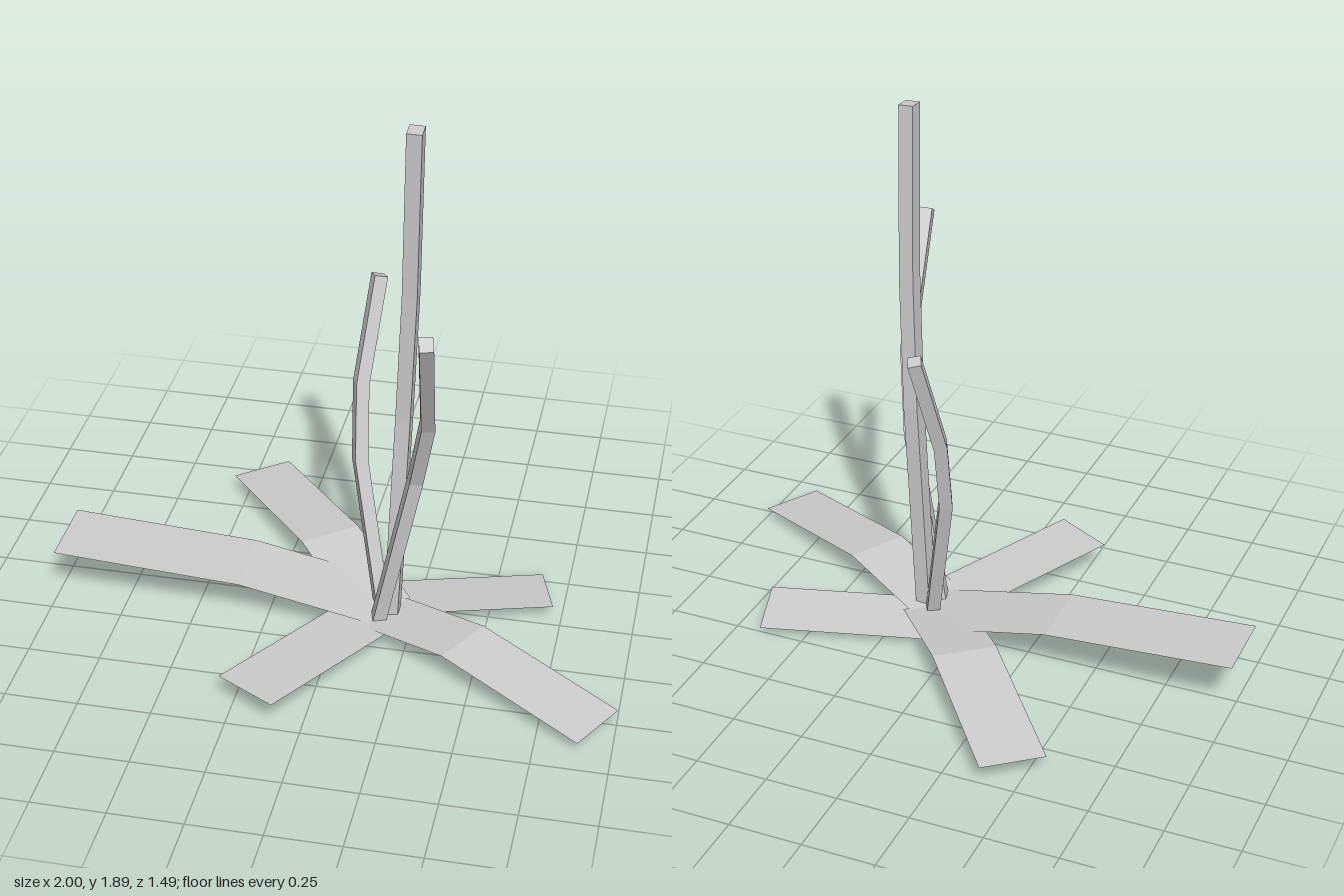
import * as THREE from 'three';

const V = (p) => new THREE.Vector3(...p);

function buildMesh(name, positions, index, side) {
  const indexed = new THREE.BufferGeometry();
  indexed.setAttribute('position', new THREE.Float32BufferAttribute(positions, 3));
  indexed.setIndex(index);
  const geometry = indexed.toNonIndexed();
  geometry.computeVertexNormals();
  const material = new THREE.MeshStandardMaterial({ color: 0xcccccc, flatShading: true, side });
  const mesh = new THREE.Mesh(geometry, material);
  mesh.name = name;
  return mesh;
}

// Four-sided stem swept along a bent path; turn rotates the section about y
function stem(name, path, w, d, turn) {
  const pts = path.map(V);
  const positions = [], index = [];
  const ref = new THREE.Vector3(Math.cos(turn), 0, -Math.sin(turn));
  pts.forEach((p, i) => {
    const a = pts[Math.max(i - 1, 0)], b = pts[Math.min(i + 1, pts.length - 1)];
    const t = b.clone().sub(a).normalize();
    const u = ref.clone().addScaledVector(t, -ref.dot(t)).normalize();
    const v = u.clone().cross(t);
    for (const [s, q] of [[-1, -1], [-1, 1], [1, 1], [1, -1]]) {
      const c = p.clone().addScaledVector(u, s * w / 2).addScaledVector(v, q * d / 2);
      positions.push(c.x, c.y, c.z);
    }
  });
  for (let i = 0; i < pts.length - 1; i++) {
    for (let k = 0; k < 4; k++) {
      const a = i * 4 + k, b = i * 4 + (k + 1) % 4;
      index.push(a, b, b + 4, a, b + 4, a + 4);
    }
  }
  const e = (pts.length - 1) * 4;
  index.push(0, 2, 1, 0, 3, 2, e, e + 1, e + 2, e, e + 2, e + 3);
  return buildMesh(name, positions, index, THREE.DoubleSide);
}

// Flat strip leaf from base to tip (x, z); rows hold [fraction along, height]
function leaf(name, base, tip, width, rows, tilt = 0) {
  const a = new THREE.Vector2(...base), b = new THREE.Vector2(...tip);
  const dir = b.clone().sub(a).normalize();
  const positions = [], index = [];
  rows.forEach(([f, y], i) => {
    const c = a.clone().lerp(b, f);
    for (const s of [-0.5, 0.5]) {
      positions.push(c.x - dir.y * width * s, y + tilt * s, c.y + dir.x * width * s);
    }
    if (i) {
      const k = i * 2 - 2;
      index.push(k, k + 1, k + 3, k, k + 3, k + 2);
    }
  });
  return buildMesh(name, positions, index, THREE.DoubleSide);
}

export function createModel() {
  const plant = new THREE.Group();
  plant.name = 'plant';

  // Stems
  plant.add(
    stem('tallStem', [[0.18, 0.05, 0.1], [0.21, 0.83, 0.08], [0.23, 1.3, 0.1], [0.245, 1.89, 0.145]], 0.05, 0.06, 0),
    stem('frontStem', [[0.133, 0.01, 0.14], [0.27, 0.66, 0.19], [0.322, 0.93, 0.28], [0.352, 1.36, 0.518]], 0.045, 0.055, 0.25),
    stem('backStem', [[0.135, 0.05, 0.06], [0.035, 0.56, -0.055], [0.025, 0.82, -0.12], [0.063, 1.175, -0.238]], 0.045, 0.05, 0.45)
  );

  // Leaves spreading from the foot of the stems
  plant.add(
    leaf('leftLeaf', [0.14, 0.052], [-1, 0.052], 0.275, [[0, 0.05], [0.42, 0.148], [1, 0.188]]),
    leaf('backLeftLeaf', [0.14, 0.08], [-0.468, -0.68], 0.224, [[0, 0.05], [0.41, 0.112], [1, 0.06]]),
    leaf('backRightLeaf', [0.1, 0.02], [0.688, -0.15], 0.23, [[0, 0.037], [1, 0.037]], 0.025),
    leaf('frontRightLeaf', [0.13, 0.1], [0.945, 0.563], 0.224, [[0, 0.05], [0.4, 0.102], [1, 0.036]]),
    leaf('frontLeftLeaf', [0.13, 0.1], [-0.197, 0.685], 0.233, [[0, 0.05], [1, 0.095]])
  );
  return plant;
}
